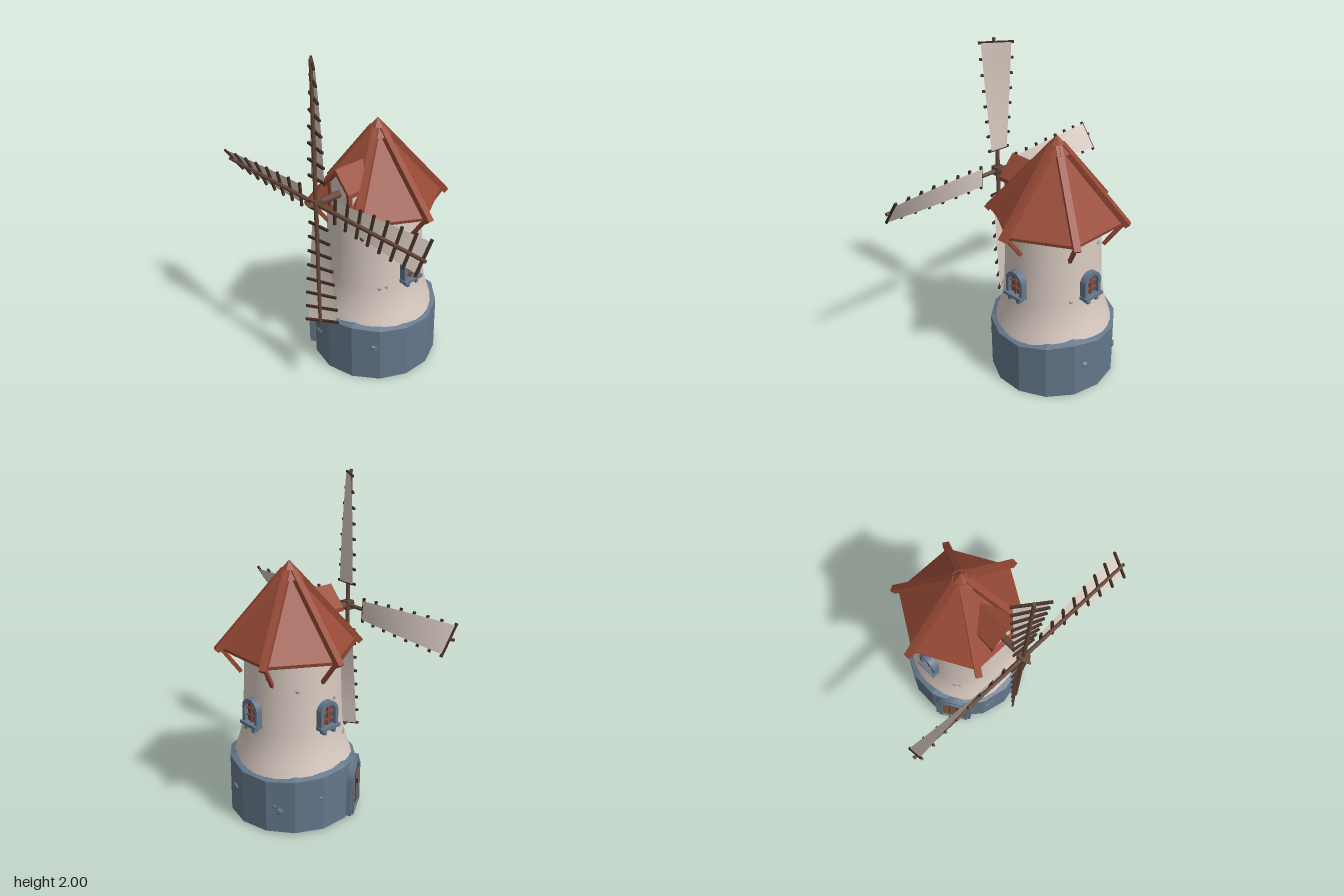
import * as THREE from 'three';

const mat = (name, color, side = THREE.FrontSide) => {
  const m = new THREE.MeshStandardMaterial({ color, side });
  m.name = name;
  return m;
};

// Flat-shaded copy of a geometry
const flat = (g) => {
  const f = g.index ? g.toNonIndexed() : g;
  f.computeVertexNormals();
  return f;
};

// Arched outline standing on y = y0
function arch(Type, half, height, y0 = 0) {
  const p = new Type();
  p.moveTo(-half, y0);
  p.lineTo(half, y0);
  p.lineTo(half, height - half);
  p.absarc(0, height - half, half, 0, Math.PI, false);
  p.lineTo(-half, y0);
  return p;
}

export function createModel() {
  const stone = mat('blue grey stone', 0x64778a);
  const plaster = mat('plaster', 0xd8cac1, THREE.DoubleSide);
  const tile = mat('roof red', 0x984a36);
  const wood = mat('spar wood', 0x664838);
  const darkWood = mat('dark wood', 0x3f2d25);
  const doorWood = mat('door wood', 0x8c5c3c);
  const glass = mat('window glass', 0x4b5763);
  const plasterStone = mat('exposed stone', 0xa59c97);

  const model = new THREE.Group();
  model.name = 'windmill';

  const add = (parent, name, geo, material, x = 0, y = 0, z = 0) => {
    const m = new THREE.Mesh(geo, material);
    m.name = name;
    m.position.set(x, y, z);
    parent.add(m);
    return m;
  };
  const group = (parent, name, x = 0, y = 0, z = 0) => {
    const g = new THREE.Group();
    g.name = name;
    g.position.set(x, y, z);
    parent.add(g);
    return g;
  };
  const box = (parent, name, w, h, d, material, x, y, z) =>
    add(parent, name, new THREE.BoxGeometry(w, h, d), material, x, y, z);
  // Square beam between two points
  const beam = (parent, name, a, b, w, h, material) => {
    const va = new THREE.Vector3(...a), vb = new THREE.Vector3(...b);
    const m = new THREE.Mesh(new THREE.BoxGeometry(w, h, va.distanceTo(vb)), material);
    m.name = name;
    m.position.copy(va).lerp(vb, 0.5);
    m.lookAt(vb);
    parent.add(m);
  };
  const extrude = (shape, depth) =>
    new THREE.ExtrudeGeometry(shape, { depth, bevelEnabled: false, curveSegments: 8 });
  // Arched band around an opening
  const band = (outer, inner, h, depth, y0 = 0) => {
    const s = arch(THREE.Shape, outer, h);
    s.holes.push(arch(THREE.Path, inner, h - (outer - inner), y0 + 0.001));
    return extrude(s, depth);
  };
  const lathe = (pts, seg, start = 0) =>
    new THREE.LatheGeometry(pts.map((p) => new THREE.Vector2(...p)), seg, start);

  // Tower
  const tower = group(model, 'tower', -0.02, 0, -0.06);
  add(tower, 'towerWall', lathe([[0.365, 0.33], [0.335, 0.42], [0.312, 0.5], [0.297, 0.6],
    [0.288, 0.8], [0.28, 1.1]], 32), plaster);

  // Hollow faceted stone base with a wavy rim
  const base = lathe([[0.345, 0.34], [0.355, 0], [0.386, 0], [0.386, 0.352], [0.338, 0.375]], 14);
  const p = base.attributes.position;
  for (let i = 0; i < p.count; i++) {
    const x = p.getX(i), y = p.getY(i), a = Math.atan2(x, p.getZ(i));
    p.setY(i, y < 0.1 ? 0.008 - 0.02 * x : y + 0.014 * Math.sin(3 * a) + 0.006 * Math.sin(5 * a + 1));
  }
  add(tower, 'stoneBase', flat(base), stone);

  // Stones showing on the base and the plaster: angle, height, radius, size
  const stones = (name, list, material) => list.forEach(([deg, y, r, s]) => {
    const a = THREE.MathUtils.degToRad(deg);
    const m = add(tower, name, flat(new THREE.DodecahedronGeometry(s)), material,
      Math.sin(a) * r, y, Math.cos(a) * r);
    m.rotation.y = a;
    m.scale.set(1, 0.9, 0.5);
  });
  stones('baseStone', [[-21, 0.19, 0.376, 0.03], [-16, 0.2, 0.376, 0.02], [-25, 0.2, 0.376, 0.017],
    [46, 0.23, 0.376, 0.028], [50, 0.2, 0.376, 0.016], [165, 0.2, 0.376, 0.028],
    [218, 0.15, 0.376, 0.026], [213, 0.18, 0.376, 0.016], [255, 0.22, 0.376, 0.026]], stone);
  stones('wallStone', [[-56, 0.52, 0.308, 0.016], [-50, 0.52, 0.308, 0.012], [-75, 0.78, 0.288, 0.015],
    [52, 0.6, 0.297, 0.013], [60, 0.61, 0.296, 0.012], [200, 0.93, 0.285, 0.014],
    [155, 0.62, 0.296, 0.014], [235, 0.87, 0.286, 0.014]], plasterStone);

  // Arched door
  const door = group(tower, 'door', 0, 0.018, 0);
  door.rotation.y = -0.977;
  add(door, 'doorOuterArch', band(0.118, 0.092, 0.35, 0.075), stone, 0, 0, 0.32);
  add(door, 'doorInnerArch', band(0.097, 0.074, 0.325, 0.09), stone, 0, 0, 0.315);
  add(door, 'doorPanel', extrude(arch(THREE.Shape, 0.076, 0.303), 0.06), doorWood, 0, 0, 0.33);
  for (const x of [-0.025, 0.025]) box(door, 'doorPlankGap', 0.004, 0.26, 0.004, darkWood, x, 0.14, 0.391);
  box(door, 'doorHandle', 0.012, 0.03, 0.012, darkWood, 0.05, 0.15, 0.394);

  // Three arched windows
  for (const a of [Math.PI / 2, -Math.PI / 2, Math.PI]) {
    const w = group(tower, 'window', 0, 0.6, 0);
    w.rotation.y = a;
    add(w, 'windowFrame', band(0.066, 0.044, 0.165, 0.055), stone, 0, 0.028, 0.27);
    add(w, 'windowPane', extrude(arch(THREE.Shape, 0.046, 0.143), 0.03), glass, 0, 0.028, 0.272);
    box(w, 'windowBarUpright', 0.011, 0.135, 0.01, tile, 0, 0.1, 0.308);
    for (const y of [0.08, 0.125]) box(w, 'windowBar', 0.088, 0.01, 0.01, tile, 0, y, 0.307);
    box(w, 'windowSill', 0.142, 0.018, 0.07, stone, 0, 0.034, 0.305);
    for (const x of [-0.035, 0.035]) box(w, 'sillBracket', 0.02, 0.035, 0.05, stone, x, 0.013, 0.305);
  }

  // Six-sided roof with hip beams and braces
  const roof = group(model, 'roof', -0.02, 0, -0.083);
  add(roof, 'roofTiles', flat(lathe([[0.25, 1.1], [0.385, 1.04], [0.39, 1.06], [0, 1.525]], 6, Math.PI / 6)), tile);
  add(roof, 'roofCap', flat(new THREE.ConeGeometry(0.09, 0.1, 6).rotateY(Math.PI / 6)), tile, 0, 1.505, 0);
  for (let k = 0; k < 6; k++) {
    const a = k * Math.PI / 3, c = Math.cos(a), s = Math.sin(a);
    beam(roof, 'hipBeam', [c * 0.03, 1.495, s * 0.03], [c * 0.422, 1.045, s * 0.422], 0.04, 0.035, tile);
    beam(roof, 'roofBrace', [c * 0.395, 1.055, s * 0.395], [c * 0.285, 0.905, s * 0.285], 0.018, 0.022, tile);
  }

  // Gabled dormer around the shaft
  const dormer = group(model, 'dormer');
  const face = new THREE.Shape([[-0.08, 1.06], [0.08, 1.06], [0.08, 1.23], [0, 1.32], [-0.08, 1.23]]
    .map((q) => new THREE.Vector2(...q)));
  add(dormer, 'dormerWall', extrude(face, 0.18), plaster, 0, 0, 0.05);
  const gable = new THREE.Shape([[-0.108, 1.225], [-0.108, 1.2], [0, 1.315], [0.108, 1.2], [0.108, 1.225], [0, 1.345]]
    .map((q) => new THREE.Vector2(...q)));
  add(dormer, 'dormerRoof', extrude(gable, 0.24), tile, 0, 0, 0.02);
  for (const x of [-0.078, 0.078]) box(dormer, 'dormerPost', 0.022, 0.18, 0.025, tile, x, 1.14, 0.228);

  // Shaft, hub and four twisted sails
  const rotor = group(model, 'sails', -0.003, 1.185, 0.4);
  add(rotor, 'shaft', new THREE.CylinderGeometry(0.021, 0.021, 0.22, 10).rotateX(Math.PI / 2), wood, 0, 0, -0.1);
  box(rotor, 'hub', 0.055, 0.055, 0.055, wood, 0, 0, 0);
  add(rotor, 'hubNose', flat(new THREE.ConeGeometry(0.022, 0.035, 6).rotateX(Math.PI / 2)), wood, 0, 0, 0.044);

  const N = 8, twist = (t) => 0.06 + 0.56 * t;
  const radius = (t) => 0.145 + 0.645 * t;
  const verts = [], idx = [];
  for (let i = 0; i < N; i++) {
    const t = i / (N - 1), h = 0.058 + 0.028 * t, a = twist(t);
    for (const s of [-1, 1]) verts.push(radius(t), s * h * Math.cos(a), -s * h * Math.sin(a));
    if (i) { const b = 2 * i; idx.push(b - 2, b, b + 1, b - 2, b + 1, b - 1); }
  }
  const cloth = new THREE.BufferGeometry();
  cloth.setAttribute('position', new THREE.Float32BufferAttribute(verts, 3));
  cloth.setIndex(idx);
  cloth.computeVertexNormals();

  for (let k = 0; k < 4; k++) {
    const sail = group(rotor, 'sail');
    sail.rotation.z = k * Math.PI / 2;
    add(sail, 'spar', new THREE.CylinderGeometry(0.01, 0.013, 0.815, 8).rotateZ(-Math.PI / 2), wood, 0.4075, 0, 0);
    add(sail, 'sailCloth', cloth, plaster, 0, 0, -0.018);
    for (let i = 0; i < N; i++) {
      const t = i / (N - 1), a = twist(t);
      const rung = box(sail, 'rung', 0.013, 2 * (0.075 + 0.026 * t), 0.013, darkWood,
        radius(t), 0.007 * Math.sin(a), -0.018 + 0.007 * Math.cos(a));
      rung.rotation.x = -a;
    }
  }
  return model;
}
